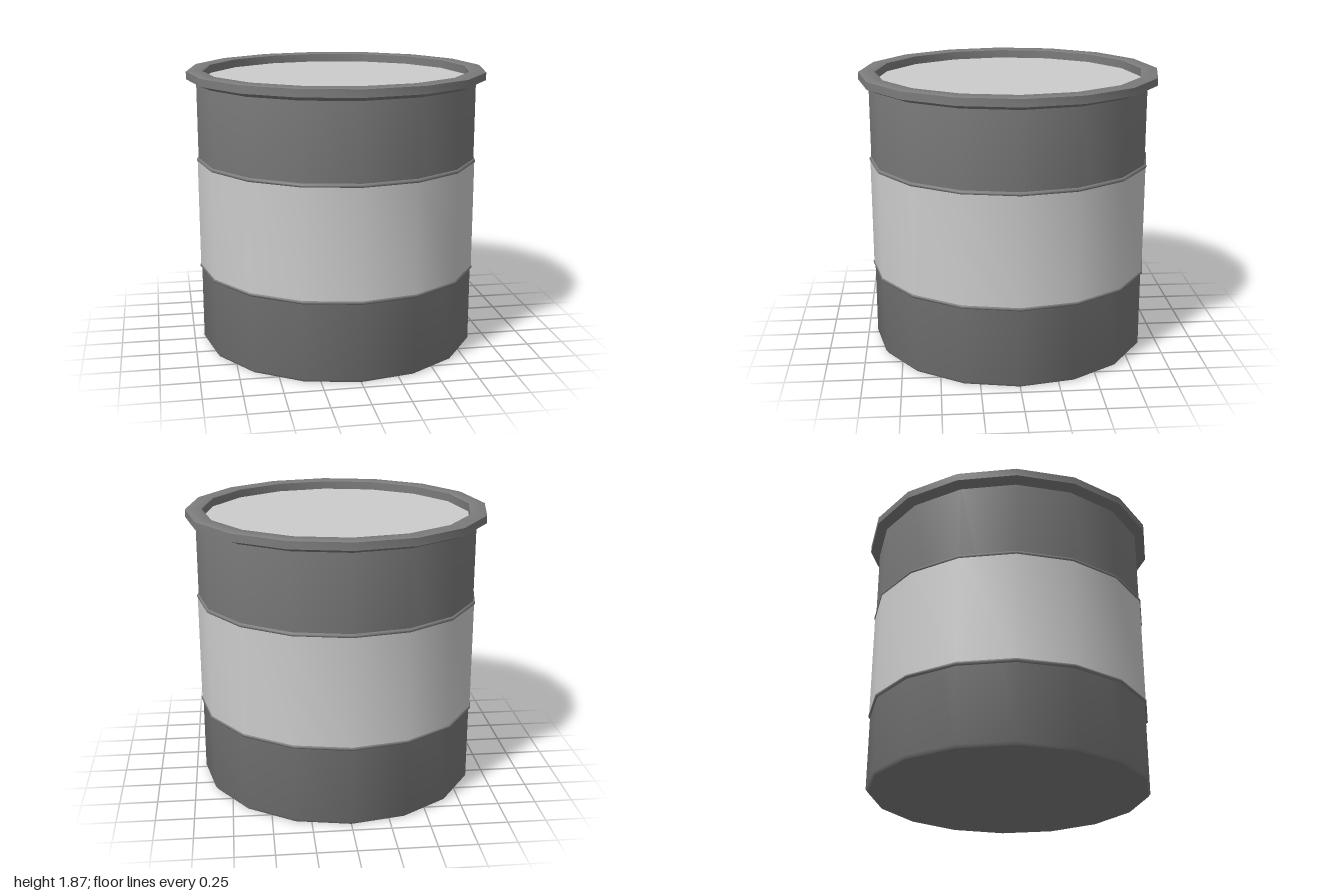
import * as THREE from 'three';
import { toCreasedNormals } from 'three/addons/utils/BufferGeometryUtils.js';

const SIDES = 16;

// Ring-shaped part turned from [radius, height] points, listed bottom to top on the outside
function turned(name, points, material, crease) {
  const profile = points.map(([r, y]) => new THREE.Vector2(r, y));
  const geometry = toCreasedNormals(new THREE.LatheGeometry(profile, SIDES), crease);
  const mesh = new THREE.Mesh(geometry, material);
  mesh.name = name;
  return mesh;
}

// Flat disc facing up (1) or down (-1)
function disc(name, radius, y, facing, material) {
  const geometry = new THREE.CircleGeometry(radius, SIDES);
  geometry.rotateX(-facing * Math.PI / 2);
  const mesh = new THREE.Mesh(geometry, material);
  mesh.name = name;
  mesh.position.y = y;
  return mesh;
}

export function createModel() {
  const light = new THREE.MeshStandardMaterial({ color: 0xcccccc });
  const dark = new THREE.MeshStandardMaterial({ color: 0x7c7c7c });
  const group = new THREE.Group();
  group.name = 'drum';

  // Wall with a softened bottom edge
  group.add(turned('wall', [[0.92, 0], [0.935, 0.02], [0.935, 1.81]], dark, 0.9));
  group.add(disc('base', 0.92, 0, -1, dark));

  // Light band around the middle, held between two thin hoops
  group.add(turned('band', [[0.935, 0.535], [0.942, 0.535], [0.942, 1.275], [0.935, 1.275]], light, 0.6));
  for (const [name, y] of [['lowerHoop', 0.535], ['upperHoop', 1.275]]) {
    group.add(turned(name, [
      [0.93, y - 0.015], [0.94, y - 0.012], [0.947, y - 0.005],
      [0.947, y + 0.005], [0.94, y + 0.012], [0.93, y + 0.015],
    ], dark, 1.0));
  }

  // Overhanging rim and the lid sunk inside it
  group.add(turned('rim', [
    [0.93, 1.785], [0.95, 1.795], [1.0, 1.815], [1.0, 1.865],
    [0.99, 1.87], [0.9, 1.87], [0.89, 1.865], [0.89, 1.8],
  ], dark, 1.0));
  group.add(disc('lid', 0.895, 1.81, 1, light));

  return group;
}
